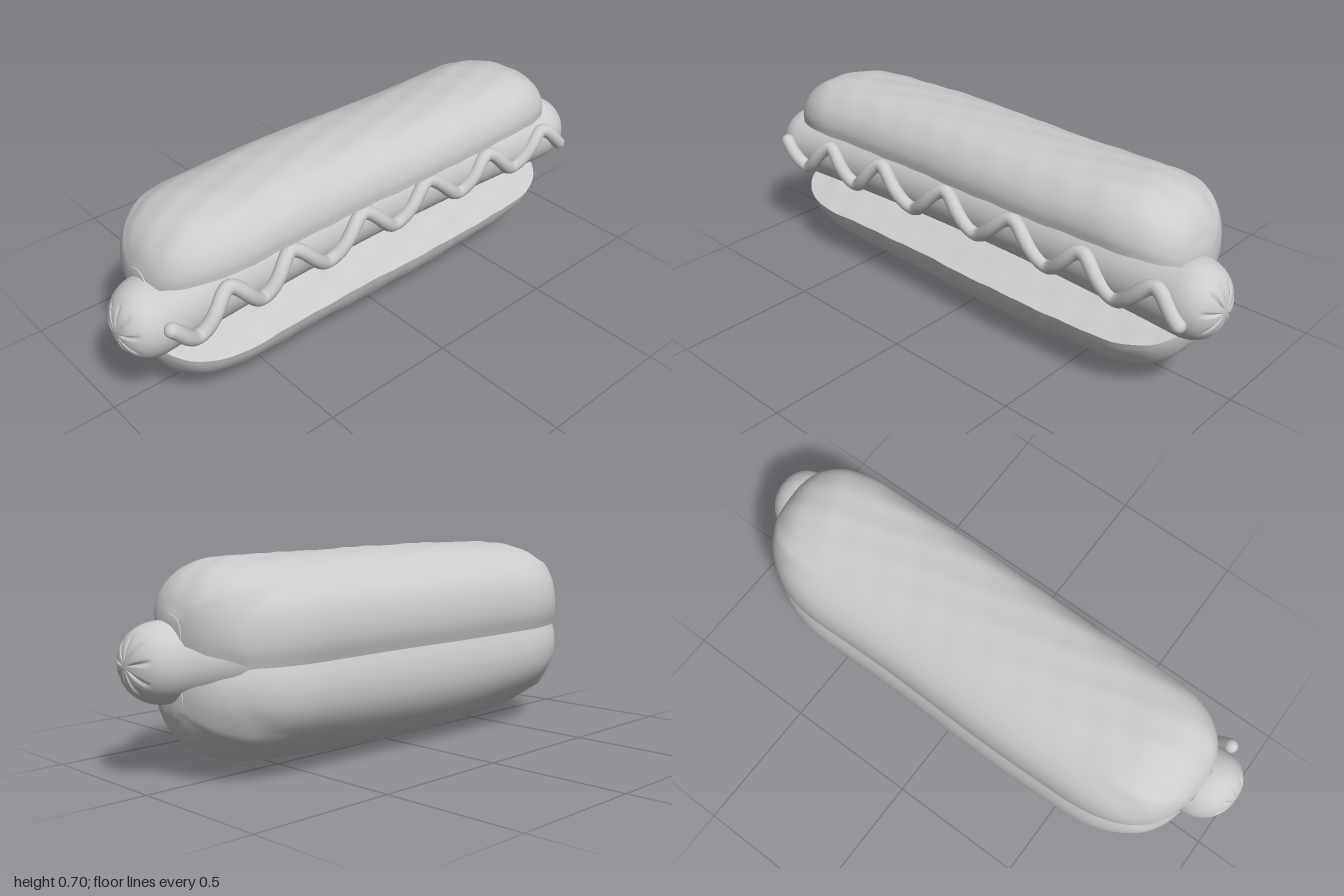
import * as THREE from 'three';
import { toCreasedNormals } from 'three/addons/utils/BufferGeometryUtils.js';

const material = new THREE.MeshStandardMaterial({ color: 0xcccccc });
const HALF = 0.88; // half length of the bun

// Skins a row of closed rings (running towards +x) and closes both ends.
function loft(rings) {
  const n = rings[0].length, pos = [], index = [];
  rings.forEach(r => r.forEach(p => pos.push(p.x, p.y, p.z)));
  for (let i = 0; i < rings.length - 1; i++) {
    for (let j = 0; j < n; j++) {
      const a = i * n + j, b = i * n + (j + 1) % n;
      index.push(a, b, a + n, b, b + n, a + n);
    }
  }
  [0, rings.length - 1].forEach((r, end) => {
    const c = rings[r].reduce((s, p) => s.add(p), new THREE.Vector3()).divideScalar(n);
    const centre = pos.length / 3;
    pos.push(c.x, c.y, c.z);
    for (let j = 0; j < n; j++) {
      const a = r * n + j, b = r * n + (j + 1) % n;
      if (end) index.push(centre, a, b); else index.push(centre, b, a);
    }
  });
  const g = new THREE.BufferGeometry();
  g.setAttribute('position', new THREE.Float32BufferAttribute(pos, 3));
  g.setIndex(index);
  g.computeVertexNormals();
  return g;
}

function addMesh(group, name, geometry) {
  const mesh = new THREE.Mesh(geometry, material);
  mesh.name = name;
  group.add(mesh);
}

// Rounded falloff from 1 to 0 between start and the bun's end.
function rounding(x, start, power) {
  const u = THREE.MathUtils.clamp((Math.abs(x) - start) / (HALF - start), 0, 1);
  return Math.pow(1 - Math.pow(u, power), 1 / power);
}

// One half of the bun: a domed outer curve closed by the sloping cut face.
function bunHalf({ outer, tipY, slope, sag, wave }) {
  const cut = z => {
    const k = THREE.MathUtils.smoothstep(z, -0.195, -0.17);
    return THREE.MathUtils.lerp(0.372, tipY + (z + 0.18) * slope, k);
  };
  const curve = new THREE.CatmullRomCurve3(outer.map(([z, y]) => new THREE.Vector3(0, y, z)));
  const section = curve.getPoints(48).map(p => [p.z, p.y]);
  const [first, last] = [section[0], section[48]];
  for (let i = 1; i < 24; i++) {
    const z = THREE.MathUtils.lerp(last[0], first[0], i / 24);
    section.push([z, cut(z)]);
  }
  const rings = [], steps = 72, z0 = 0.05;
  for (let i = 0; i <= steps; i++) {
    const x = -HALF * Math.cos(Math.PI * i / steps);
    const sy = Math.max(0.3, rounding(x, 0.6, 2.5)) * (1 - sag * (x / HALF) ** 2) + wave * Math.sin(4.6 * x + 3);
    rings.push(section.map(([z, y]) => {
      const sz = Math.max(0.22, rounding(x, z < z0 ? 0.5 : 0.58, 2.4));
      const zz = z0 + (z - z0) * sz;
      // slightly uneven torn crumb along the cut
      const crumb = zz > -0.15 ? 0.003 * Math.sin(31 * x + 17 * zz) * Math.sin(13 * x - 41 * zz) : 0;
      return new THREE.Vector3(x, cut(zz) + (y - cut(z)) * sy + crumb, zz + 0.004 * Math.sin(7 * x) * sz);
    }));
  }
  return toCreasedNormals(loft(rings), 0.8);
}

// The sausage bows gently backwards in its middle.
const SAUSAGE_Y = 0.374, SAUSAGE_R = 0.129;
const sausageZ = x => 0.045 + 0.052 * x * x;

function sausage() {
  const rings = [], steps = 80, sides = 96, cap = 0.13;
  for (let i = 1; i < steps; i++) {
    // denser rings within the rounded ends
    const t = i / steps, side = t < 0.5 ? -1 : 1;
    const e = Math.min(t, 1 - t) * 2;
    const inCap = e < 0.6;
    const a = (e / 0.6) * Math.PI / 2;
    const x0 = inCap ? 1 - cap * (1 - Math.pow(Math.cos(a), 0.9)) : (1 - cap) * (1 - (e - 0.6) / 0.4);
    const r = SAUSAGE_R * (inCap ? Math.pow(Math.sin(a), 0.9) : 1);
    const band = THREE.MathUtils.smoothstep(r, 0.01, 0.035) * (1 - THREE.MathUtils.smoothstep(r, 0.075, 0.1));
    const ring = [];
    for (let j = 0; j < sides; j++) {
      const q = j / sides * Math.PI * 2;
      // radial creases gathered at each tip
      const crease = Math.pow(Math.abs(Math.cos(4.5 * q + 0.4 * Math.sin(2 * q))), 24);
      const x = side * (x0 - 0.008 * band * crease);
      ring.push(new THREE.Vector3(x, SAUSAGE_Y + r * Math.cos(q), sausageZ(x0) + r * Math.sin(q)));
    }
    rings.push(ring);
  }
  return loft(rings);
}

// Wavy line of sauce resting on the front of the sausage.
function addSauce(group) {
  const wave = [[-0.885, 0.41], [-0.79, 0.325], [-0.66, 0.435], [-0.53, 0.325], [-0.4, 0.438],
    [-0.24, 0.318], [-0.08, 0.435], [0.07, 0.325], [0.23, 0.435], [0.39, 0.325],
    [0.53, 0.43], [0.67, 0.325], [0.82, 0.43], [0.915, 0.35]];
  const flat = new THREE.CatmullRomCurve3(wave.map(([x, y]) => new THREE.Vector3(x, y, 0)));
  const points = flat.getPoints(140).map(p => {
    const dy = p.y - SAUSAGE_Y;
    p.z = sausageZ(p.x) + Math.sqrt(SAUSAGE_R ** 2 - dy * dy) + 0.012 - 0.012 * p.x;
    return p;
  });
  const radius = 0.025;
  const path = new THREE.CatmullRomCurve3(points);
  addMesh(group, 'sauceLine', new THREE.TubeGeometry(path, 260, radius, 14));
  [points[0], points[140]].forEach(p => {
    const tip = new THREE.SphereGeometry(radius, 16, 12);
    tip.translate(p.x, p.y, p.z);
    addMesh(group, 'sauceTip', tip);
  });
}

export function createModel() {
  const group = new THREE.Group();
  group.name = 'hotDog';

  addMesh(group, 'upperBun', bunHalf({
    outer: [[-0.248, 0.372], [-0.264, 0.43], [-0.263, 0.5], [-0.24, 0.565], [-0.19, 0.62], [-0.1, 0.67],
      [0, 0.691], [0.1, 0.692], [0.18, 0.672], [0.235, 0.62], [0.256, 0.565], [0.255, 0.523]],
    tipY: 0.388, slope: 0.31, sag: 0.04, wave: 0.015,
  }));
  addMesh(group, 'lowerBun', bunHalf({
    outer: [[0.25, 0.2], [0.236, 0.155], [0.2, 0.095], [0.14, 0.036], [0.08, 0.013], [0.02, 0.004],
      [-0.05, 0.017], [-0.13, 0.058], [-0.21, 0.125], [-0.255, 0.2], [-0.267, 0.27], [-0.262, 0.325], [-0.248, 0.372]],
    tipY: 0.356, slope: -0.36, sag: 0.22, wave: 0.005,
  }));
  addMesh(group, 'sausage', sausage());
  addSauce(group);
  return group;
}
